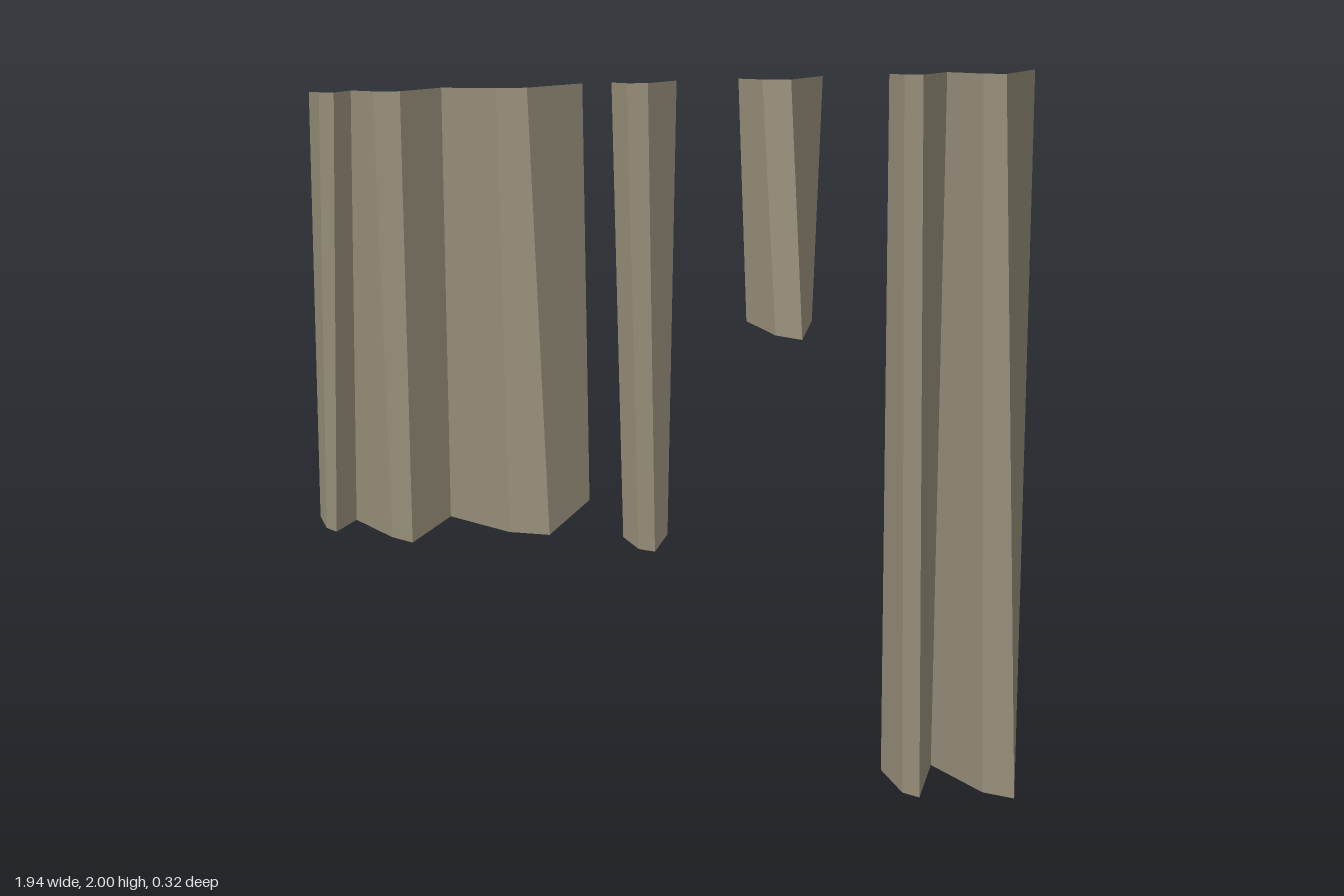
import * as THREE from 'three';

const TOP = 2;

// Each fold line: [top x, top z, bottom x, bottom y, bottom z]
const DRAPES = {
  wideDrape: [
    [-0.963, -0.16, -0.971, 0.845, -0.155],
    [-0.938, -0.15, -0.96, 0.842, -0.065],
    [-0.9, -0.14, -0.935, 0.838, -0.04],
    [-0.855, -0.161, -0.875, 0.832, -0.15],
    [-0.8, -0.14, -0.79, 0.828, 0],
    [-0.73, -0.13, -0.74, 0.825, 0.043],
    [-0.62, -0.161, -0.62, 0.825, -0.16],
    [-0.48, -0.132, -0.48, 0.832, 0.018],
    [-0.4, -0.125, -0.38, 0.84, 0.082],
    [-0.25, -0.16, -0.243, 0.857, -0.145],
  ],
  narrowDrape: [
    [-0.173, -0.16, -0.149, 0.74, -0.16],
    [-0.135, -0.143, -0.12, 0.736, -0.065],
    [-0.08, -0.135, -0.08, 0.736, -0.037],
    [0, -0.16, -0.028, 0.745, -0.15],
  ],
  shortDrape: [
    [0.165, -0.16, 0.19, 1.337, -0.16],
    [0.225, -0.137, 0.24, 1.338, 0],
    [0.3, -0.125, 0.3, 1.34, 0.063],
    [0.392, -0.16, 0.367, 1.334, -0.145],
  ],
  longDrape: [
    [0.572, -0.16, 0.585, 0.003, -0.16],
    [0.61, -0.147, 0.61, 0.001, 0.005],
    [0.66, -0.137, 0.65, 0, 0.044],
    [0.73, -0.161, 0.73, 0.008, -0.16],
    [0.82, -0.125, 0.82, 0.02, 0.082],
    [0.88, -0.11, 0.89, 0.03, 0.161],
    [0.971, -0.16, 0.957, 0.045, -0.142],
  ],
};

// Open pleated sheet: one evenly shaded panel between each pair of fold lines
function pleatedSheet(folds) {
  const positions = [];
  const normals = [];
  const index = [];
  for (let i = 1; i < folds.length; i++) {
    const [topA, bottomA, topB, bottomB] = [folds[i - 1], folds[i]].flatMap(([tx, tz, bx, by, bz]) => [
      new THREE.Vector3(tx, TOP, tz),
      new THREE.Vector3(bx, by, bz),
    ]);
    // The panel's normal is square to both diagonals
    const normal = bottomB.clone().sub(topA).cross(topB.clone().sub(bottomA)).normalize();
    const first = positions.length / 3;
    for (const corner of [topA, bottomA, topB, bottomB]) {
      positions.push(...corner.toArray());
      normals.push(...normal.toArray());
    }
    index.push(first, first + 1, first + 2, first + 1, first + 3, first + 2);
  }
  const geometry = new THREE.BufferGeometry();
  geometry.setAttribute('position', new THREE.Float32BufferAttribute(positions, 3));
  geometry.setAttribute('normal', new THREE.Float32BufferAttribute(normals, 3));
  geometry.setIndex(index);
  return geometry;
}

export function createModel() {
  const cloth = new THREE.MeshStandardMaterial({ color: 0x918975, side: THREE.DoubleSide });
  cloth.name = 'drabCloth';

  const model = new THREE.Group();
  model.name = 'hangingDrapes';
  for (const [name, folds] of Object.entries(DRAPES)) {
    const mesh = new THREE.Mesh(pleatedSheet(folds), cloth);
    mesh.name = name;
    model.add(mesh);
  }
  return model;
}
